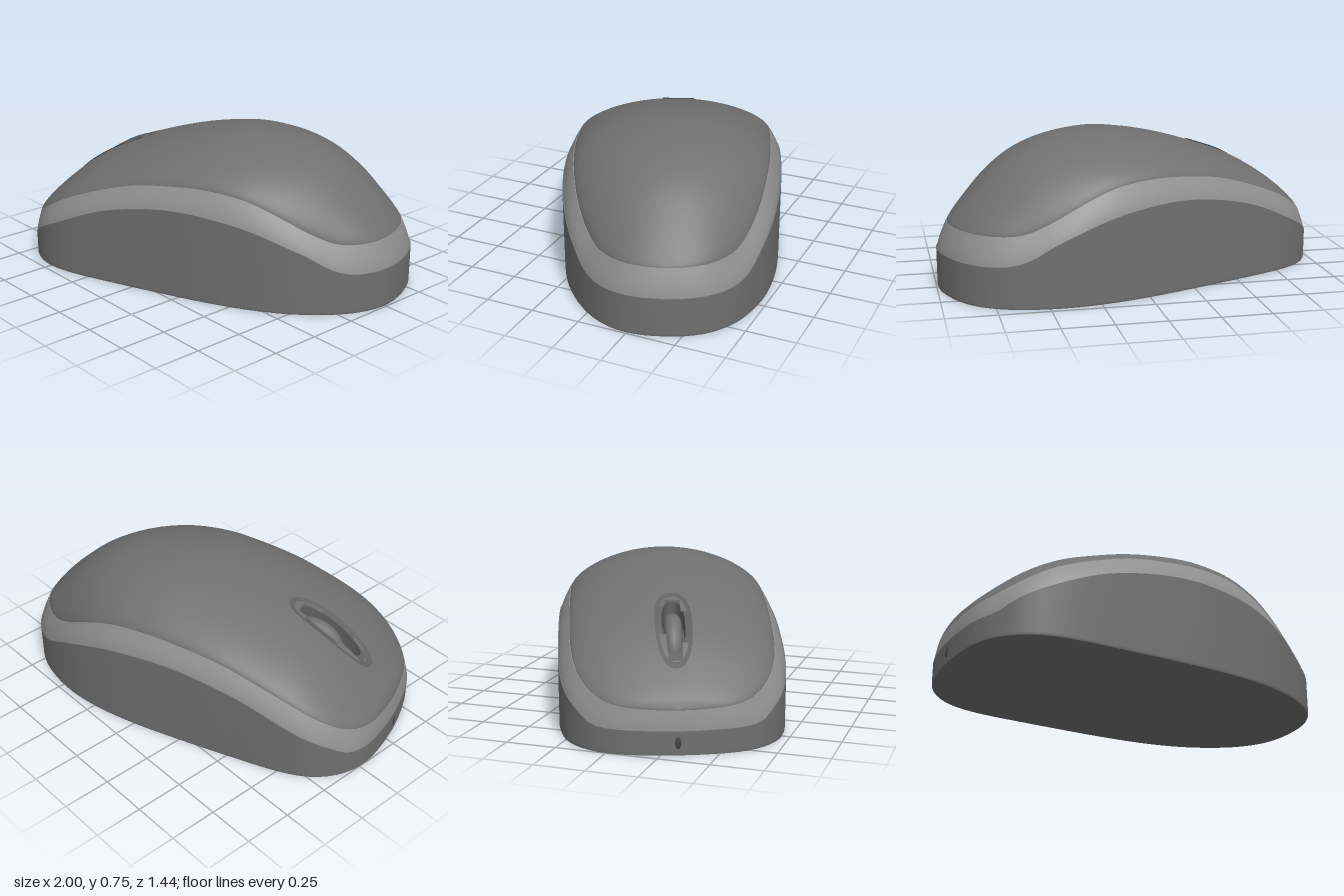
import * as THREE from 'three';

const V0 = -0.04; // sideways offset of the centre line
const N = 56;     // samples from nose to tail
const M = 40;     // samples across the shell

// Smooth interpolation of [u, value] points
function smooth(pts) {
  const slope = (i) => {
    const a = pts[Math.max(i - 1, 0)], b = pts[Math.min(i + 1, pts.length - 1)];
    return (b[1] - a[1]) / (b[0] - a[0]);
  };
  return (u) => {
    if (u <= pts[0][0]) return pts[0][1];
    const i = pts.findIndex((p) => p[0] >= u) - 1;
    if (i < 0) return pts[pts.length - 1][1];
    const [x0, y0] = pts[i], [x1, y1] = pts[i + 1];
    const h = x1 - x0, t = (u - x0) / h, t2 = t * t, t3 = t2 * t;
    return y0 * (2 * t3 - 3 * t2 + 1) + y1 * (3 * t2 - 2 * t3)
      + slope(i) * h * (t3 - 2 * t2 + t) + slope(i + 1) * h * (t3 - t2);
  };
}

// Height curves along the body: base seam, upper seam, ridge of the shell
const lowSeam = smooth([[-0.98, 0.115], [-0.89, 0.13], [-0.82, 0.185], [-0.63, 0.28], [-0.42, 0.37],
  [-0.21, 0.425], [0.01, 0.455], [0.22, 0.45], [0.45, 0.41], [0.69, 0.315], [0.83, 0.23], [0.92, 0.205], [1.045, 0.2]]);
const highSeam = smooth([[-0.98, 0.21], [-0.9, 0.24], [-0.78, 0.31], [-0.63, 0.39], [-0.42, 0.47],
  [-0.21, 0.53], [0.01, 0.56], [0.19, 0.57], [0.4, 0.55], [0.57, 0.49], [0.76, 0.39], [0.85, 0.35], [0.93, 0.337], [1.045, 0.335]]);
const ridge = smooth([[-0.967, 0.212], [-0.945, 0.26], [-0.84, 0.365], [-0.7, 0.48], [-0.55, 0.57], [-0.39, 0.63],
  [-0.2, 0.69], [0, 0.735], [0.2, 0.755], [0.5, 0.714], [0.71, 0.62], [0.87, 0.482], [0.95, 0.395], [0.995, 0.335]]);

// Half outline of the body from nose to tail: [u, half width]
const outline = new THREE.CatmullRomCurve3([[-0.982, 0], [-0.975, 0.13], [-0.95, 0.28], [-0.9, 0.385], [-0.822, 0.467],
  [-0.724, 0.52], [-0.583, 0.549], [-0.3, 0.559], [0, 0.56], [0.23, 0.554], [0.44, 0.532], [0.633, 0.486],
  [0.8, 0.41], [0.917, 0.325], [1.0, 0.218], [1.038, 0.1], [1.045, 0]]
  .map(([u, w]) => new THREE.Vector3(u, 0, w))).getSpacedPoints(N);

// Pull an outline sample inward, k = 0 outer edge, k = 1 upper seam
const inset = (p, k) => ({
  u: p.x + k * (0.015 - 0.065 * (p.x + 0.982) / 2.027),
  w: Math.max(0, p.z) * (1 - 0.1 * k),
});
const shellEdge = outline.map((p) => inset(p, 1.06));
const edgeWidth = smooth(shellEdge.map((e) => [e.u, e.w]));

// Shell height for t = -1..1 across the body, rising from its edge height
const shellY = (u, t, edge = highSeam(u)) =>
  edge + Math.max(0, ridge(u) - edge) * Math.pow(Math.max(0, 1 - t * t), 0.7);

// Surface through rows of [x, y, z] points
function loft(rows, closed = false, skip = () => false) {
  const cols = rows[0].length, index = [];
  for (let r = 0; r < rows.length - 1; r++) {
    for (let c = 0; c < (closed ? cols : cols - 1); c++) {
      const n = (c + 1) % cols;
      if (skip(rows[r][c]) && skip(rows[r + 1][n])) continue;
      const a = r * cols + c, b = r * cols + n;
      index.push(a, b, b + cols, a, b + cols, a + cols);
    }
  }
  const geo = new THREE.BufferGeometry();
  geo.setAttribute('position', new THREE.Float32BufferAttribute(rows.flat(2), 3));
  geo.setIndex(index);
  geo.computeVertexNormals();
  return geo;
}

// Closed loop round the body at an inset k and height rule
function loop(k, height) {
  const side = (s) => outline.map((p) => {
    const { u, w } = inset(p, k);
    return [u, height(p.x), V0 + s * w];
  });
  return [...side(1), ...side(-1).slice(1, -1).reverse()];
}

// Scroll wheel opening, an oval on the shell
const OPEN = { u: -0.612, a: 0.225, b: 0.09 };
const SLOT_U = -0.61;
const inOpening = ([x, , z]) => ((x - OPEN.u) / OPEN.a) ** 2 + ((z - V0) / OPEN.b) ** 2 < 0.85;
function ovalRing(u0, a, b, lift) {
  return Array.from({ length: 48 }, (_, i) => {
    const q = -i / 48 * Math.PI * 2, c = Math.cos(q), s = Math.sin(q);
    const u = u0 + a * Math.sign(c) * Math.abs(c) ** 0.9;
    const w = b * Math.sign(s) * Math.abs(s) ** 0.8;
    return [u, shellY(u, w / edgeWidth(u)) + lift, V0 + w];
  });
}

export function createModel() {
  const model = new THREE.Group();
  model.name = 'computerMouse';
  const body = new THREE.Group();
  body.name = 'body';
  body.rotation.y = Math.atan(0.4);
  model.add(body);

  const paint = (color) => new THREE.MeshStandardMaterial({ color, side: THREE.DoubleSide });
  const dark = paint(0x707070), light = paint(0x909090), surround = paint(0x606060), black = paint(0x404040);
  const add = (name, geo, mat) => {
    const mesh = new THREE.Mesh(geo, mat);
    mesh.name = name;
    body.add(mesh);
    return mesh;
  };

  // Base wall and flat underside
  add('baseWall', loft([loop(0.1, () => 0), loop(0.02, () => 0.012), loop(0, lowSeam)], true), dark);
  add('underside', loft(outline.map((p) => {
    const { u, w } = inset(p, 0.1);
    return [[u, 0, V0 + w], [u, 0, V0 - w]];
  })), dark);

  // Trim band, bulging slightly between the two seams
  const bandRows = Array.from({ length: 7 }, (_, i) => {
    const f = i / 6;
    return loop(0.08 + 0.92 * Math.pow(f, 1.3), (u) => lowSeam(u) + (highSeam(u) - lowSeam(u)) * f);
  });
  add('trimBand', loft(bandRows, true), light);

  // Narrow ledges that mark the two seams
  add('lowerSeamLedge', loft([loop(0, lowSeam), loop(0.12, lowSeam)], true), dark);
  add('upperSeamLedge', loft([loop(1, highSeam), loop(1.1, highSeam)], true), light);

  // Domed top shell with the wheel opening left out
  const shellRows = shellEdge.map(({ u, w }, k) => Array.from({ length: M + 1 }, (_, j) => {
    const t = Math.sin((j / M - 0.5) * Math.PI);
    return [u, shellY(u, t, highSeam(outline[k].x)), V0 + w * t];
  }));
  add('topShell', loft(shellRows, false, inOpening), dark);

  // Oval surround and slot
  const outer = ovalRing(OPEN.u, OPEN.a, OPEN.b, 0.005);
  const inner = ovalRing(SLOT_U, 0.162, 0.056, -0.006);
  const rimRows = [0, 0.25, 0.5, 0.75, 1].map((f) => outer.map((p, i) => {
    const u = p[0] + (inner[i][0] - p[0]) * f, z = p[2] + (inner[i][2] - p[2]) * f;
    return [u, shellY(u, (z - V0) / edgeWidth(u)) + 0.005 - 0.011 * f, z];
  }));
  add('wheelSurround', loft(rimRows, true), surround);
  const slotFloor = ovalRing(SLOT_U, 0.158, 0.054, -0.09);
  add('wheelSlot', loft([inner, slotFloor], true), surround);
  add('wheelSlotFloor', loft([slotFloor, ovalRing(SLOT_U, 0.001, 0.001, -0.09)], true), surround);

  // Scroll wheel with a rounded tread
  const tread = [[0, -0.044], [0.13, -0.044], [0.155, -0.035], [0.167, -0.018], [0.17, 0],
    [0.167, 0.018], [0.155, 0.035], [0.13, 0.044], [0, 0.044]].map(([r, y]) => new THREE.Vector2(r, y));
  const wheel = add('scrollWheel', new THREE.LatheGeometry(tread, 40), dark);
  wheel.rotation.x = Math.PI / 2;
  wheel.position.set(-0.517, 0.387, V0);

  // Small oval port on the nose
  const port = add('nosePort', new THREE.SphereGeometry(1, 16, 12), black);
  port.scale.set(0.004, 0.03, 0.014);
  port.position.set(-0.981, 0.06, V0);

  return model;
}
